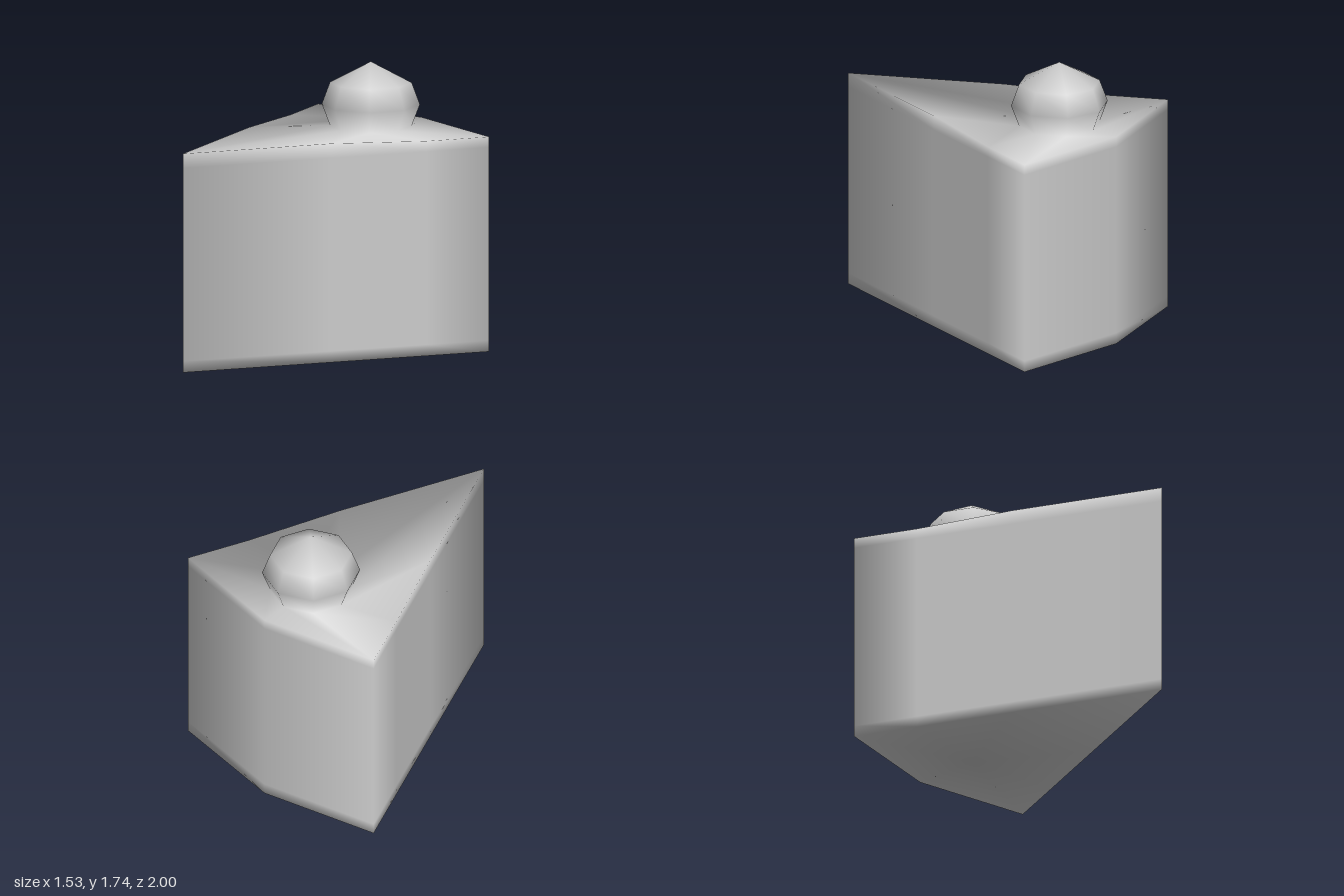
import * as THREE from 'three';

const SIDES = 8;

// Smooth normals weighted by the corner angle, so thin edge strips count as much as large faces.
function angleNormals(points, faces) {
  const normals = points.map(() => new THREE.Vector3());
  for (const f of faces) {
    const p = f.map((i) => points[i]);
    const n = new THREE.Vector3().crossVectors(
      p[1].clone().sub(p[0]), p[2].clone().sub(p[0])).normalize();
    for (let k = 0; k < 3; k++) {
      const u = p[(k + 1) % 3].clone().sub(p[k]);
      const v = p[(k + 2) % 3].clone().sub(p[k]);
      normals[f[k]].addScaledVector(n, u.angleTo(v));
    }
  }
  return normals.map((n) => n.normalize());
}

export function createModel() {
  const group = new THREE.Group();
  group.name = 'cakeSlice';
  const grey = new THREE.MeshStandardMaterial({ color: 0xcccccc });
  grey.name = 'light grey';

  // Plan of the slice as [x, z, top height]: tip, left side, back, right side
  const half = [[0.372, 0.1, 1.36], [0.608, -0.47, 1.335], [0.765, -0.85, 1.335]];
  const plan = [
    [0, 1, 1.36], ...half, [0, -1, 1.335],
    ...half.slice().reverse().map(([x, z, h]) => [-x, z, h]),
  ];
  const cherryZ = -0.575;

  // Rings from the bottom up: slice walls with tight edge strips
  const rings = [0, 0.07, 1.27].map((y) => plan.map(([x, z]) => new THREE.Vector3(x, y, z)));
  rings.push(plan.map(([x, z, h]) => new THREE.Vector3(x, h, z)));
  const rimRing = rings.length - 1;

  // Cherry rings, growing out of the top
  for (const [r, y] of [[0.25, 1.337], [0.3, 1.47], [0.25, 1.605]]) {
    rings.push(plan.map((_, k) => {
      const a = (k / SIDES) * Math.PI * 2;
      return new THREE.Vector3(r * Math.sin(a), y, cherryZ + r * Math.cos(a));
    }));
  }

  const points = rings.flat();
  const bottom = points.push(new THREE.Vector3(0, 0, cherryZ)) - 1;
  const apex = points.push(new THREE.Vector3(0, 1.735, cherryZ)) - 1;

  const slice = [];
  const cherry = [];
  const last = rings.length - 1;
  for (let k = 0; k < SIDES; k++) {
    const next = (k + 1) % SIDES;
    slice.push([bottom, next, k]);
    for (let i = 0; i < last; i++) {
      const a = i * SIDES + k, b = i * SIDES + next;
      const c = b + SIDES, d = a + SIDES;
      (i <= rimRing ? slice : cherry).push([a, b, d], [b, c, d]);
    }
    cherry.push([last * SIDES + k, last * SIDES + next, apex]);
  }

  // Both parts share the same smoothed points, so the cherry blends into the top
  const normals = angleNormals(points, [...slice, ...cherry]);
  const flat = (list) => new THREE.Float32BufferAttribute(list.flatMap((v) => v.toArray()), 3);
  const position = flat(points);
  const normal = flat(normals);
  for (const [name, faces] of [['slice', slice], ['cherry', cherry]]) {
    const geometry = new THREE.BufferGeometry();
    geometry.setAttribute('position', position);
    geometry.setAttribute('normal', normal);
    geometry.setIndex(faces.flat());
    const mesh = new THREE.Mesh(geometry, grey);
    mesh.name = name;
    group.add(mesh);
  }
  return group;
}
